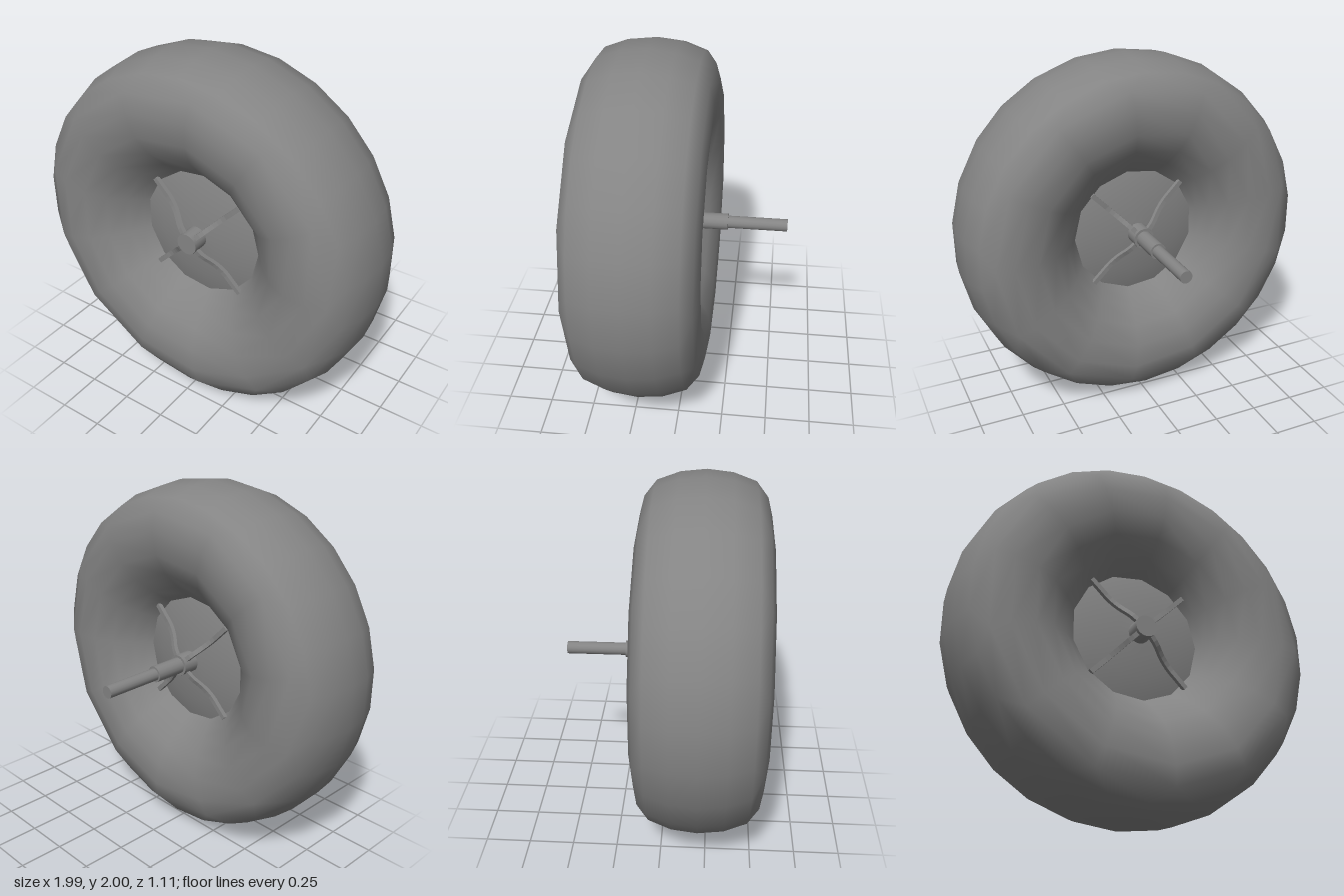
import * as THREE from 'three';

const material = new THREE.MeshStandardMaterial({ color: 0x848484 });
const SIDES = 26;
const STEP = (Math.PI * 2) / SIDES;

function add(parent, name, geometry) {
  const mesh = new THREE.Mesh(geometry, material);
  mesh.name = name;
  parent.add(mesh);
  return mesh;
}

// Revolve a front half profile [radius, z], mirrored to the back, about the z axis.
// Rings inside the tread merge neighbouring vertices in pairs, halving their sides.
function revolve(half) {
  const front = half.map(([r, z]) => new THREE.Vector2(r, z));
  const back = half.map(([r, z]) => new THREE.Vector2(r, -z)).reverse();
  if (half[0][1] === 0) back.pop();
  const profile = [...back, ...front];
  const geometry = new THREE.LatheGeometry(profile, SIDES);
  const axis = new THREE.Vector3(0, 1, 0), v = new THREE.Vector3();
  for (let i = 0; i < geometry.attributes.position.count; i++) {
    if (profile[i % profile.length].x > 0.9) continue;
    const odd = Math.floor(i / profile.length) % 2;
    for (const attribute of [geometry.attributes.position, geometry.attributes.normal]) {
      v.fromBufferAttribute(attribute, i).applyAxisAngle(axis, odd ? -STEP / 2 : STEP / 2);
      attribute.setXYZ(i, v.x, v.y, v.z);
    }
  }
  return geometry.rotateX(Math.PI / 2);
}

// Cylinder along z between two depths
function rod(radius, z0, z1) {
  return new THREE.CylinderGeometry(radius, radius, z1 - z0, 16)
    .rotateX(Math.PI / 2).translate(0, 0, (z0 + z1) / 2);
}

// S-curved flat bar running outward from the hub
function spokeGeometry() {
  const path = [[0.04, 0.222], [0.1, 0.208], [0.17, 0.172], [0.24, 0.152], [0.31, 0.15], [0.38, 0.148]];
  const edge = (dz) => path.map(([r, z]) => new THREE.Vector2(r, z + dz));
  const lower = edge(-0.012), upper = edge(0.012).reverse();
  const shape = new THREE.Shape();
  shape.moveTo(lower[0].x, lower[0].y);
  shape.splineThru(lower.slice(1));
  shape.lineTo(upper[0].x, upper[0].y);
  shape.splineThru(upper.slice(1));
  shape.closePath();
  return new THREE.ExtrudeGeometry(shape, { depth: 0.026, bevelEnabled: false, curveSegments: 2 })
    .translate(0, 0, -0.013).rotateX(Math.PI / 2);
}

export function createModel() {
  const group = new THREE.Group();
  group.name = 'wheelOnAxle';
  const wheel = new THREE.Group();
  wheel.name = 'wheel';
  wheel.position.set(0, 1, 0.205);
  group.add(wheel);

  // Fat rounded tyre
  add(wheel, 'tyre', revolve([
    [1, 0], [0.985, 0.14], [0.94, 0.265], [0.87, 0.323], [0.77, 0.348],
    [0.64, 0.338], [0.53, 0.285], [0.44, 0.205], [0.385, 0.145], [0.345, 0.09],
  ]));

  // Domed wheel disc
  add(wheel, 'wheelDisc', revolve([
    [0.385, 0.1], [0.36, 0.113], [0.25, 0.137], [0.13, 0.153], [0, 0.16],
  ]));

  // Hub through the wheel, then collar and axle to the rear
  add(wheel, 'hub', rod(0.06, -0.25, 0.25));
  add(wheel, 'collar', rod(0.046, -0.43, -0.24));
  add(wheel, 'axle', rod(0.035, -0.76, -0.42));

  // Four spokes on each face
  const spoke = spokeGeometry();
  for (const side of ['front', 'back']) {
    const set = new THREE.Group();
    set.name = side + 'Spokes';
    if (side === 'back') set.rotation.y = Math.PI;
    for (let i = 0; i < 4; i++) {
      add(set, side + 'Spoke', spoke).rotation.z = Math.PI / 4 + i * Math.PI / 2;
    }
    wheel.add(set);
  }
  return group;
}
